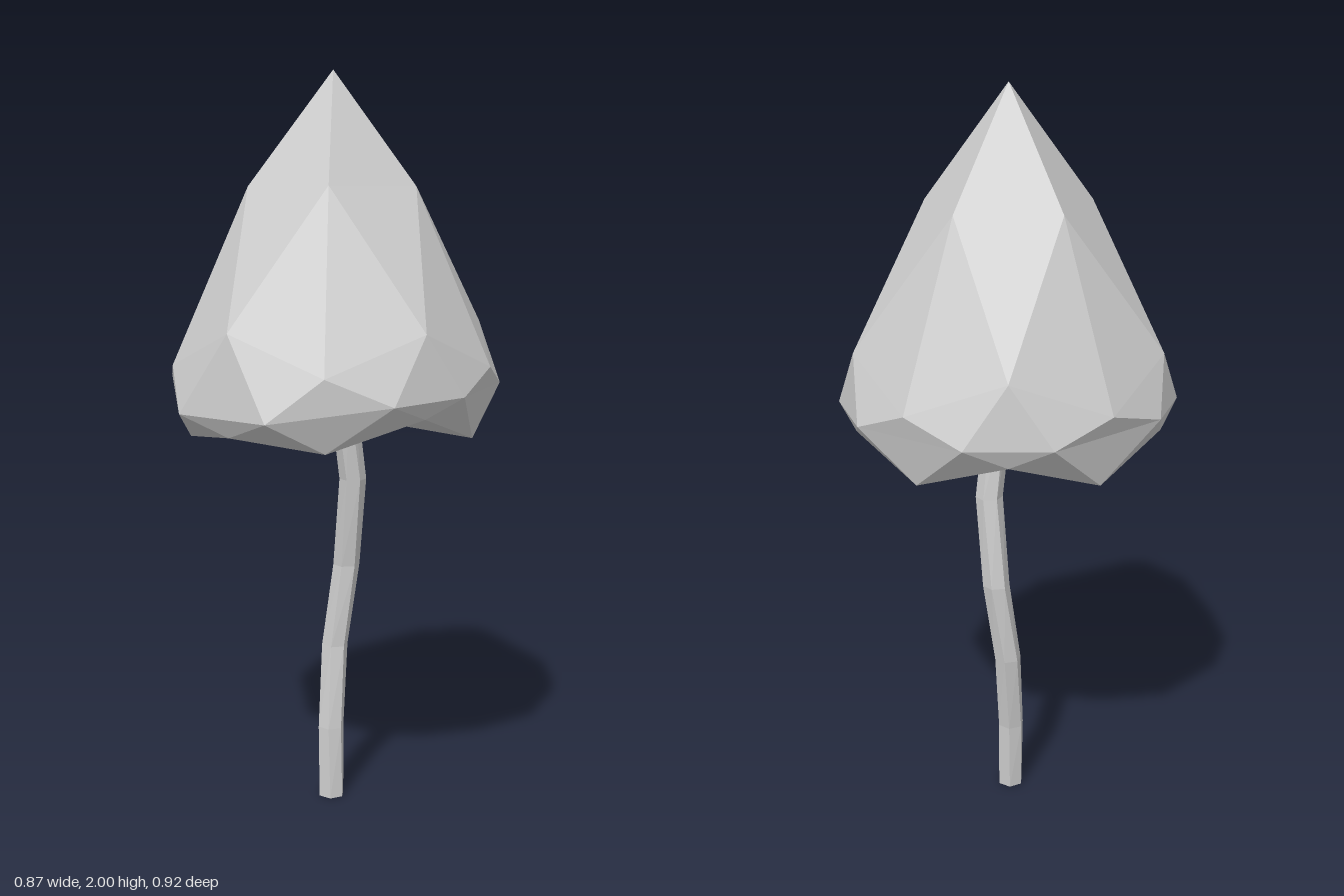
import * as THREE from 'three';

const grey = new THREE.MeshStandardMaterial({ color: 0xcccccc });
grey.name = 'grey';

// Facetted mesh from a list of triangles, each three [x, y, z] corners
function facetMesh(name, tris) {
  const geo = new THREE.BufferGeometry();
  geo.setAttribute('position', new THREE.Float32BufferAttribute(tris.flat(2), 3));
  geo.computeVertexNormals();
  const mesh = new THREE.Mesh(geo, grey);
  mesh.name = name;
  return mesh;
}

const CAP_Z = -0.01;
// Ring of points; radius and height may depend on the index
function ring(count, startDeg, radius, height) {
  return Array.from({ length: count }, (_, i) => {
    const a = THREE.MathUtils.degToRad(startDeg + (i * 360) / count);
    return [radius(i) * Math.cos(a), height(i), CAP_Z + radius(i) * Math.sin(a)];
  });
}

// Cap: a once-divided icosahedron pulled into a point, with a wavy rim and a hollow base
function createCap() {
  const top = [0, 2, CAP_Z];
  const hollow = [0, 1.15, CAP_Z];
  const shoulder = ring(5, 0, () => 0.23, () => 1.7);
  const upper = ring(10, 0, (i) => (i % 2 ? 0.417 : 0.435), (i) => (i % 2 ? 1.34 : 1.24));
  const belt = [
    [0.415, 1.18, 0.16], [0.29, 1.17, 0.335], [0, 1.13, 0.455], [-0.275, 1.13, 0.365], [-0.435, 1.195, 0.09],
    [-0.435, 1.195, -0.11], [-0.24, 1.18, -0.39], [-0.03, 1.18, -0.46], [0.285, 1.18, -0.36], [0.42, 1.18, -0.175],
  ];
  const rimHeights = [1.13, 1.08, 1.135, 1.13, 1.13];
  const rim = ring(10, 0, (i) => (i % 2 ? 0.415 : 0.39), (i) => (i % 2 ? rimHeights[(i - 1) / 2] : 1.05));
  const inner = ring(5, 36, () => 0.22, () => 1.1);

  const tris = [];
  for (let k = 0; k < 5; k++) {
    const n = (k + 1) % 5, a = 2 * k, b = a + 1, c = (a + 2) % 10;
    tris.push(
      [top, shoulder[n], shoulder[k]],
      [shoulder[k], shoulder[n], upper[b]],
      [shoulder[k], upper[b], upper[a]],
      [shoulder[n], upper[c], upper[b]],
      [rim[a], rim[b], inner[k]],
      [rim[b], rim[c], inner[k]],
      [rim[c], inner[n], inner[k]],
      [inner[k], inner[n], hollow],
    );
  }
  for (let j = 0; j < 10; j++) {
    const n = (j + 1) % 10;
    tris.push(
      [upper[j], upper[n], belt[j]],
      [upper[n], belt[n], belt[j]],
      [belt[j], belt[n], rim[n]],
      [belt[j], rim[n], rim[j]],
    );
  }
  return facetMesh('cap', tris);
}

// Stem: hexagonal cross-sections along a bent line, twisting a little on the way up
function createStem() {
  const sides = 6, radius = 0.037;
  const path = [
    [-0.005, 0, -0.01], [-0.01, 0.2, -0.02], [-0.012, 0.43, -0.055],
    [0.015, 0.66, -0.075], [0.042, 0.91, -0.052], [0.025, 1.16, -0.015],
  ];
  const rings = path.map(([x, y, z], r) => Array.from({ length: sides }, (_, i) => {
    const a = (i / sides) * Math.PI * 2 + 0.25 + r * 0.1;
    return [x + radius * Math.cos(a), y, z + radius * Math.sin(a)];
  }));
  const tris = [];
  for (let i = 0; i < sides; i++) {
    const n = (i + 1) % sides;
    for (let r = 0; r < rings.length - 1; r++) {
      const lo = rings[r], hi = rings[r + 1];
      tris.push([hi[i], hi[n], lo[n]], [hi[i], lo[n], lo[i]]);
    }
    tris.push([path[0], rings[0][i], rings[0][n]]);
    tris.push([path[5], rings[5][n], rings[5][i]]);
  }
  return facetMesh('stem', tris);
}

export function createModel() {
  const group = new THREE.Group();
  group.name = 'mushroom';
  group.add(createCap(), createStem());
  return group;
}
